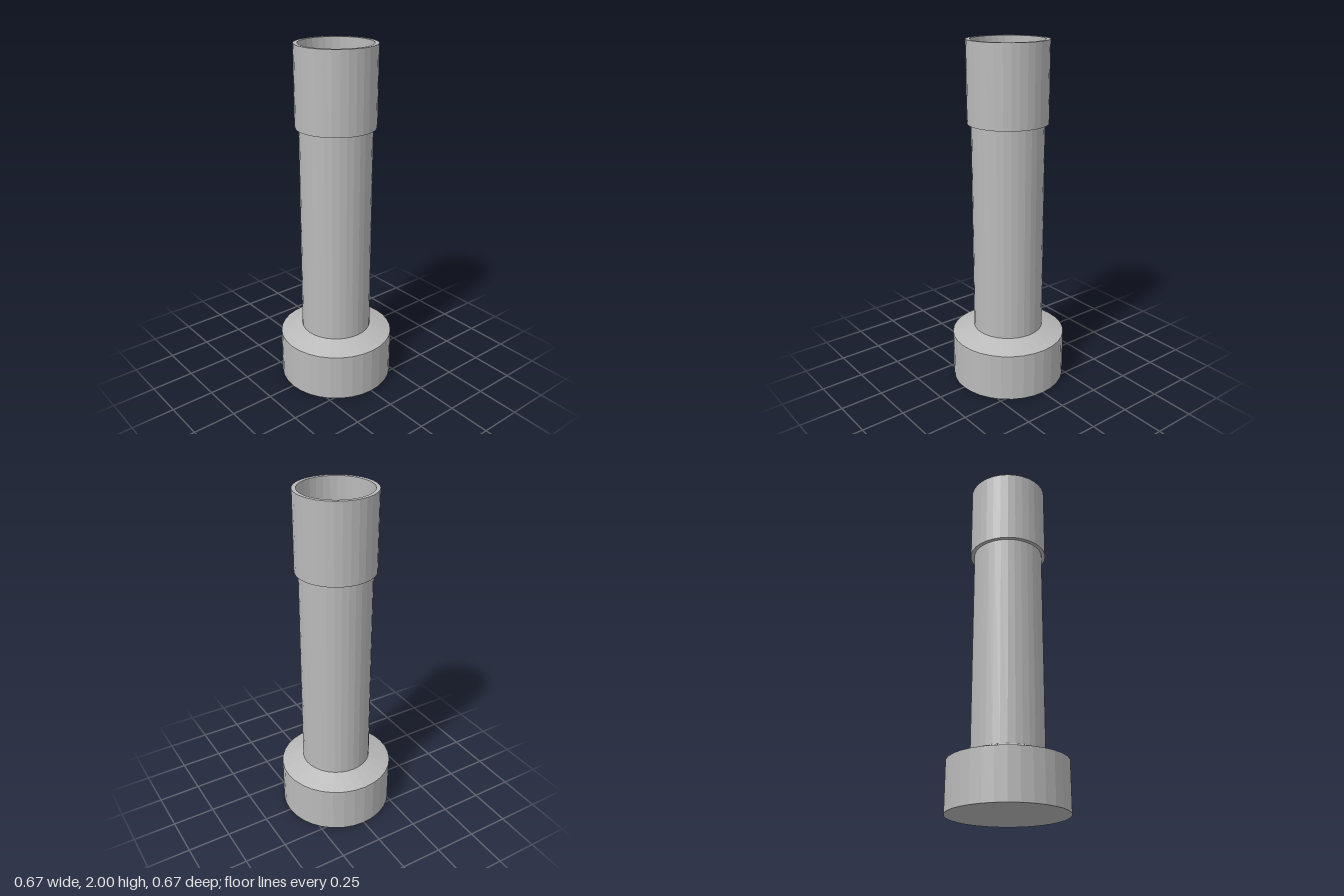
import * as THREE from 'three';

const SIDES = 32;

export function createModel() {
  const model = new THREE.Group();
  const grey = new THREE.MeshStandardMaterial({ color: 0xbababa, flatShading: true });
  grey.name = 'plain grey';

  // Turn a [radius, height] profile around the vertical axis.
  const turn = (name, profile) => {
    const points = profile.map(([r, y]) => new THREE.Vector2(r, y));
    const mesh = new THREE.Mesh(new THREE.LatheGeometry(points, SIDES), grey);
    mesh.name = name;
    model.add(mesh);
  };

  // Wide foot with a sloped shoulder
  turn('base', [[0, 0], [0.333, 0], [0.333, 0.28], [0.204, 0.325]]);

  // Straight shaft, whose top closes the socket floor
  turn('shaft', [[0.204, 0.325], [0.204, 1.55], [0, 1.55]]);

  // Hollow collar with a thin wall, open at the top
  turn('collar', [[0.204, 1.55], [0.226, 1.55], [0.226, 2], [0.204, 2], [0.204, 1.55]]);

  return model;
}
